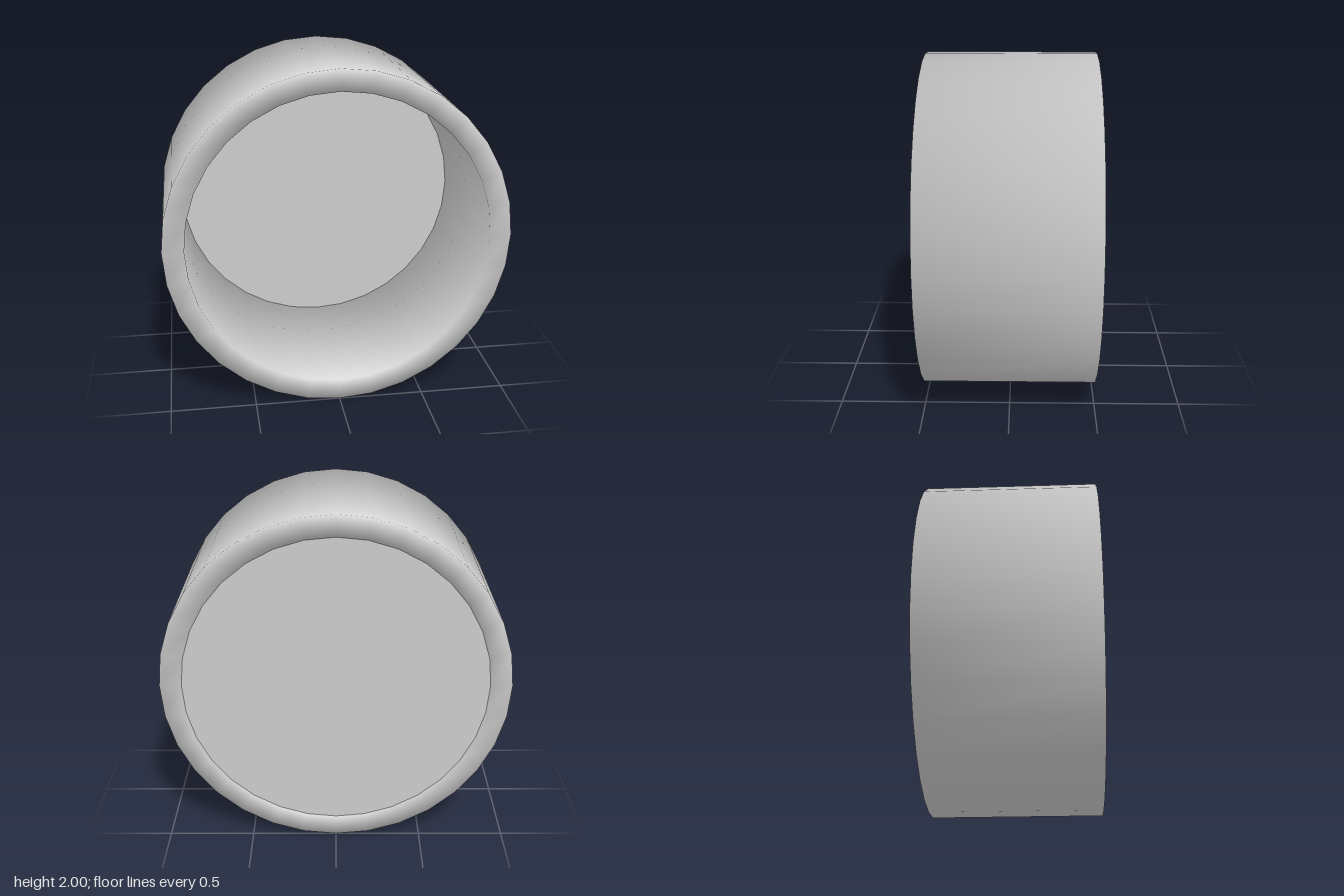
import * as THREE from 'three';

const SIDES = 32, OUTER = 1, INNER = 0.875, HALF = 0.5;

// Square-section ring along z, with corner normals rounded so the shading rolls over every edge
function ringGeometry() {
  const profile = [[INNER, -HALF], [OUTER, -HALF], [OUTER, HALF], [INNER, HALF], [INNER, -HALF]]
    .map(([r, y]) => new THREE.Vector2(r, y));
  const geometry = new THREE.LatheGeometry(profile, SIDES);
  geometry.rotateX(Math.PI / 2);
  const position = geometry.attributes.position;
  const normal = geometry.attributes.normal;
  const middle = (OUTER + INNER) / 2;
  const n = new THREE.Vector3();
  for (let i = 0; i < position.count; i++) {
    const x = position.getX(i), y = position.getY(i);
    const r = Math.hypot(x, y);
    const side = Math.sign(r - middle);
    n.set(side * x / r, side * y / r, Math.sign(position.getZ(i))).normalize();
    normal.setXYZ(i, n.x, n.y, n.z);
  }
  return geometry;
}

export function createModel() {
  const group = new THREE.Group();
  group.name = 'openDrum';

  // Thick outer wall
  const ring = new THREE.Mesh(ringGeometry(), new THREE.MeshStandardMaterial({ color: 0xcccccc }));
  ring.name = 'ringWall';

  // Flat disc closing the back, visible from inside and outside
  const disc = new THREE.Mesh(
    new THREE.CircleGeometry(INNER, SIDES),
    new THREE.MeshStandardMaterial({ color: 0xcccccc, side: THREE.DoubleSide })
  );
  disc.name = 'backDisc';
  disc.position.z = -HALF;

  group.add(ring, disc);
  group.position.y = OUTER;
  return group;
}
